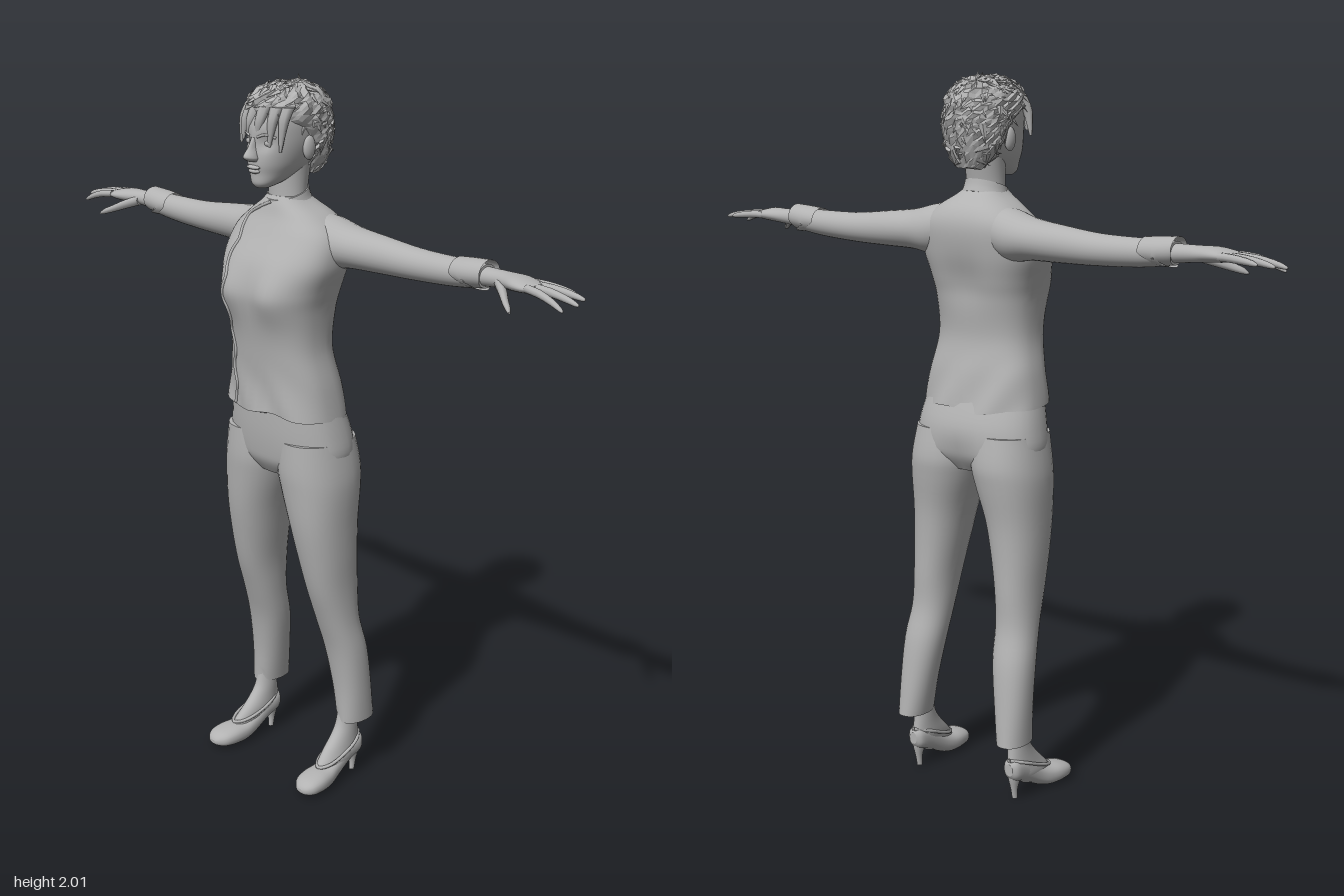
import * as THREE from 'three';
import { mergeGeometries } from 'three/addons/utils/BufferGeometryUtils.js';

const grey = new THREE.MeshStandardMaterial({ color: 0xb2b2b2, side: THREE.DoubleSide });
grey.name = 'plain grey';
const greyFaceted = grey; // hair gets its facets from split vertices

// Smooth in-between section at fractional index f
function sample(rows, f) {
  const n = rows.length - 1, i = Math.min(Math.floor(f), n - 1), t = f - i;
  const [a, b, c, d] = [i - 1, i, i + 1, i + 2].map(k => rows[Math.max(0, Math.min(n, k))]);
  return b.map((v, k) => v + 0.5 * t * (c[k] - a[k] + t * (2 * a[k] - 5 * v + 4 * c[k] - d[k] + t * (3 * (v - c[k]) + d[k] - a[k]))));
}

const sp = (v, p) => Math.sign(v) * Math.abs(v) ** (2 / p);

// Point on a section [t, uMin, uMax, vMin, vMax]; axis 0 = x (u z, v y), 1 = y (u x, v z), 2 = z (u y, v x)
function ringPoint(s, axis, ang, p) {
  const q = [0, 0, 0];
  q[axis] = s[0];
  q[(axis + 2) % 3] = (s[1] + s[2]) / 2 + (s[2] - s[1]) / 2 * sp(Math.cos(ang), p);
  q[(axis + 1) % 3] = (s[3] + s[4]) / 2 + (s[4] - s[3]) / 2 * sp(Math.sin(ang), p);
  return new THREE.Vector3(...q);
}

// Closed skin through the sections, with optional vertex rule
function loft(rows, axis, { segs = 28, sub = 4, p = 2, cap = true, rule } = {}) {
  const pos = [], idx = [], m = (rows.length - 1) * sub;
  const ring = i => {
    const s = sample(rows, i / sub);
    for (let j = 0; j < segs; j++) {
      const v = ringPoint(s, axis, j / segs * Math.PI * 2, p);
      if (rule) rule(v);
      pos.push(v.x, v.y, v.z);
    }
  };
  for (let i = 0; i <= m; i++) ring(i);
  for (let i = 0; i < m; i++) for (let j = 0; j < segs; j++) {
    const k = (j + 1) % segs, a = i * segs + j, b = i * segs + k, c = a + segs, d = b + segs;
    idx.push(a, c, b, b, c, d);
  }
  if (cap) for (const end of [0, m]) {
    const base = pos.length / 3;
    ring(end);
    for (let j = 1; j < segs - 1; j++) idx.push(base, ...(end ? [base + j + 1, base + j] : [base + j, base + j + 1]));
  }
  const g = new THREE.BufferGeometry();
  g.setAttribute('position', new THREE.Float32BufferAttribute(pos, 3));
  g.setIndex(idx);
  g.computeVertexNormals();
  return g;
}

function mirror(g) {
  const m = g.clone().scale(-1, 1, 1), ix = m.index.array;
  for (let i = 0; i < ix.length; i += 3) [ix[i], ix[i + 1]] = [ix[i + 1], ix[i]];
  return m;
}

const tube = (pts, r, n = 16) => new THREE.TubeGeometry(
  new THREE.CatmullRomCurve3(pts.map(q => new THREE.Vector3(...q))), n, r, 8);
const ball = (x, y, z, a, b, c) => new THREE.SphereGeometry(1, 16, 12).scale(a, b, c).translate(x, y, z);
const bump = (v, x, y, r) => Math.exp(-((Math.abs(v.x) - x) ** 2 + (v.y - y) ** 2) / (r * r));

export function createModel() {
  const model = new THREE.Group();
  const add = (name, g, mat = grey) => {
    const m = new THREE.Mesh(g, mat);
    m.name = name;
    model.add(m);
  };
  const pair = (name, g) => { add('left' + name, g); add('right' + name, mirror(g)); };
  let seed = 7;
  const rnd = () => (seed = (seed * 16807) % 2147483647) / 2147483647;

  // Jacket body, with bust, waist folds and a wavy hem
  const jacketRows = [
    [1.11, -.185, .185, -.117, .12], [1.2, -.172, .172, -.1, .118], [1.3, -.152, .152, -.082, .127],
    [1.4, -.155, .155, -.095, .142], [1.46, -.167, .167, -.108, .145], [1.53, -.185, .185, -.12, .132],
    [1.6, -.175, .175, -.125, .095], [1.645, -.13, .13, -.11, .072], [1.68, -.075, .075, -.075, .06], [1.7, -.052, .052, -.05, .05]];
  const jacketRule = v => {
    if (v.z > 0) v.z += 0.022 * bump(v, .085, 1.445, .065);
    if (v.z < 0) v.z += 0.014 * bump(v, 0, 1.45, .07);
    const low = Math.max(0, 1 - (v.y - 1.11) / 0.15);
    v.z += low * 0.005 * Math.sin(v.x * 45 + v.y * 30);
    v.y += low * (0.006 * Math.sin(v.x * 30) + 0.05 * v.z);
  };
  add('jacketBody', loft(jacketRows, 1, { segs: 48, sub: 6, p: 2.5, rule: jacketRule }));
  add('collar', loft([[1.672, -.07, .07, -.064, .064], [1.69, -.063, .063, -.058, .06], [1.708, -.059, .059, -.054, .058]], 1,
    { rule: v => { v.y -= 0.33 * v.z; } }));

  // Overlapping front edge, following the jacket surface
  const onFront = (x, y) => {
    let k = 0;
    while (k < 9 && sample(jacketRows, k)[0] < y) k += 0.05;
    const s = sample(jacketRows, Math.min(k, 9));
    const v = new THREE.Vector3(x, y, (s[3] + s[4]) / 2 + (s[4] - s[3]) / 2 * Math.max(0, 1 - Math.abs(x / s[2]) ** 2.5) ** 0.4);
    jacketRule(v);
    return v.toArray();
  };
  const edge = [[0, 1.685], [-.045, 1.665], [-.085, 1.64]];
  for (let i = 0; i <= 16; i++) edge.push([-.09 + 0.007 * Math.sin(i * 1.9), 1.61 - i * 0.031]);
  add('jacketFrontEdge', tube(edge.map(e => onFront(...e)), 0.005, 70));

  // Sleeves and turned-back cuffs
  pair('Sleeve', loft([
    [.06, -.1, .03, 1.53, 1.66], [.13, -.118, .03, 1.512, 1.652], [.2, -.115, .012, 1.522, 1.634],
    [.3, -.108, -.008, 1.524, 1.622], [.42, -.104, -.02, 1.527, 1.61], [.55, -.1, -.025, 1.535, 1.608],
    [.645, -.097, -.028, 1.548, 1.608]], 0));
  pair('Cuff', loft([[.555, -.104, -.021, 1.542, 1.613], [.6, -.106, -.019, 1.543, 1.617], [.652, -.102, -.023, 1.549, 1.62]], 0,
    { cap: false, rule: v => { if (v.y < 1.575) v.x += (v.x < .6 ? 1 : -.2) * (1.575 - v.y) * 1.8; } }));

  // Hands with fingers
  const tips = [[.775, -.083, .89, -.098, 1.572], [.8, -.068, .928, -.082, 1.568], [.805, -.045, .94, -.042, 1.563], [.8, -.022, .92, -.01, 1.55]];
  const fingers = tips.map(([x, z, tx, tz, ty]) => loft(
    [0, .35, .7, .93, 1].map((t, i) => {
      const r = [.0105, .0105, .009, .006, .002][i], cz = z + (tz - z) * t, cy = 1.582 + (ty - 1.582) * t * t;
      return [x + (tx - x) * t, cz - r, cz + r, cy - r, cy + r];
    }), 0, { segs: 10, sub: 2 }));
  fingers.push(loft([[.695, -.06, -.03, 1.56, 1.59], [.73, -.036, -.005, 1.548, 1.576], [.765, -.003, .02, 1.535, 1.556],
    [.785, .014, .031, 1.529, 1.545], [.795, .026, .034, 1.528, 1.534]], 0, { segs: 10, sub: 3 }));
  pair('Fingers', mergeGeometries(fingers));
  pair('Palm', loft([[.62, -.092, -.033, 1.551, 1.602], [.68, -.088, -.035, 1.557, 1.602], [.715, -.09, -.028, 1.56, 1.602],
    [.755, -.096, -.012, 1.563, 1.602], [.79, -.09, -.01, 1.566, 1.596], [.815, -.078, -.018, 1.572, 1.59]], 0));

  // Trousers
  add('trouserHips', loft([[.93, -.1, .1, -.1, .07], [.965, -.18, .18, -.128, .092], [1.0, -.203, .203, -.136, .1],
    [1.06, -.196, .196, -.132, .106], [1.13, -.18, .18, -.108, .108]], 1,
    { segs: 40, p: 2.3, rule: v => { if (v.z < 0) v.z += 0.014 * bump(v, 0, .97, .05); } }));
  pair('TrouserLeg', loft([
    [.175, .14, .222, -.16, -.04], [.28, .122, .223, -.15, -.036], [.4, .102, .221, -.136, -.018], [.5, .094, .211, -.114, .012],
    [.6, .086, .208, -.113, .045], [.7, .068, .211, -.113, .068], [.8, .046, .213, -.118, .086], [.9, .014, .215, -.133, .096],
    [.96, .002, .21, -.138, .1], [1.04, .01, .196, -.125, .098]], 1, { p: 2.2,
    rule: v => { if (v.y < .2 && v.z > -.07) v.y += 0.03 * Math.max(0, 1 - Math.abs(v.x - .165) / .015); } }));

  // Feet, pumps and heels
  pair('Foot', loft([[.035, .155, .205, -.06, .07], [.065, .15, .21, -.1, .05], [.095, .146, .206, -.114, .022],
    [.13, .147, .202, -.112, -.012], [.165, .148, .2, -.11, -.034], [.22, .15, .2, -.112, -.045]], 1));
  pair('Shoe', loft([[-.12, .075, .11, .165, .19], [-.105, .058, .122, .15, .204], [-.06, .042, .108, .147, .207], [-.01, .014, .078, .145, .213],
    [.03, .001, .062, .142, .224], [.07, .0, .058, .142, .232], [.105, .003, .05, .15, .23], [.125, .01, .038, .168, .216], [.132, .018, .028, .182, .2]], 2,
    { p: 2.4 }));
  pair('ShoeRim', tube([[.178, .12, -.117], [.206, .11, -.08], [.212, .085, -.02], [.205, .068, .03], [.185, .062, .052],
    [.16, .068, .03], [.147, .085, -.02], [.15, .11, -.08], [.176, .12, -.117]], 0.005, 40));
  pair('Heel', loft([[0, .169, .185, -.1, -.084], [.03, .167, .187, -.106, -.084], [.06, .16, .194, -.113, -.075],
    [.085, .153, .201, -.116, -.062]], 1, { segs: 14 }));

  // Neck and head
  add('neck', loft([[1.64, -.062, .062, -.055, .052], [1.7, -.055, .055, -.05, .05], [1.76, -.055, .055, -.06, .052], [1.82, -.06, .06, -.07, .055]], 1));
  add('head', loft([
    [1.728, -.018, .018, .07, .108], [1.74, -.035, .035, .03, .118], [1.765, -.053, .053, -.035, .12], [1.79, -.066, .066, -.07, .124],
    [1.825, -.076, .076, -.09, .124], [1.86, -.081, .081, -.105, .124], [1.9, -.081, .081, -.11, .12], [1.94, -.072, .072, -.1, .1],
    [1.97, -.045, .045, -.06, .06]], 1, { segs: 40, p: 2.15,
    rule: v => { if (v.z > .05) v.z -= 0.011 * bump(v, .034, 1.846, .018); } }));
  add('nose', loft([[1.798, -.012, .012, .11, .135], [1.806, -.018, .018, .105, .15], [1.815, -.016, .016, .105, .154],
    [1.835, -.009, .009, .1, .14], [1.86, -.008, .008, .1, .126]], 1, { segs: 16 }));
  add('upperLip', ball(0, 1.783, .122, .024, .006, .01));
  add('lowerLip', ball(0, 1.773, .119, .02, .007, .011));
  pair('Eye', ball(.034, 1.846, .103, .015, .008, .007));
  pair('Brow', tube([[.014, 1.862, .121], [.035, 1.869, .114], [.057, 1.861, .094]], 0.0035));
  pair('Ear', ball(.081, 1.83, .0, .012, .032, .02));

  // Short tousled hair: rough cap with scattered locks
  const hairRows = [
    [1.755, -.045, .045, -.09, -.04], [1.8, -.078, .078, -.108, -.012], [1.84, -.091, .091, -.12, .02], [1.875, -.096, .096, -.127, .05],
    [1.905, -.097, .097, -.127, .1], [1.94, -.093, .093, -.122, .117], [1.968, -.075, .075, -.1, .1], [1.988, -.04, .04, -.06, .06], [1.992, -.008, .008, -.02, .02]];
  const hairCap = loft(hairRows, 1, { segs: 36, sub: 3, rule: v => {
    const s = 0.006 * Math.sin(v.x * 190 + v.y * 120) * Math.sin(v.z * 170 - v.y * 90);
    v.x *= 1 + s * 9; v.z *= 1 + s * 9; v.y += s * .8;
  } }).toNonIndexed();
  hairCap.computeVertexNormals();
  add('hairCap', hairCap, greyFaceted);
  const locks = [], up = new THREE.Vector3(0, 1, 0), centre = new THREE.Vector3(0, 1.87, -.01);
  for (let i = 0; i < 190; i++) {
    const p = ringPoint(sample(hairRows, 0.3 + rnd() * 7.2), 1, rnd() * Math.PI * 2, 2);
    const out = p.clone().sub(centre).normalize();
    const flow = new THREE.Vector3(rnd() - .5, -rnd() * 1.1, rnd() - .5).addScaledVector(out, -.1);
    flow.addScaledVector(out, -flow.dot(out) + .12).normalize();
    const side = new THREE.Vector3().crossVectors(flow, out).normalize();
    const basis = new THREE.Matrix4().makeBasis(side, flow, new THREE.Vector3().crossVectors(side, flow));
    const lock = new THREE.ConeGeometry(.012, .03 + rnd() * .022, 5).scale(1, 1, .45).toNonIndexed();
    lock.computeVertexNormals();
    locks.push(lock.applyMatrix4(basis.setPosition(p)));
  }
  add('hairLocks', mergeGeometries(locks), greyFaceted);
  // Fringe swept to one side of the forehead
  for (const [i, x] of [-.075, -.05, -.02, .015, .05, .075].entries()) {
    const z = .122 - x * x * 5;
    add('fringeLock' + (i + 1), loft([[1.868 + Math.abs(x + .01) * -.5, x - .012, x - .004, z - .008, z - .002],
      [1.9, x - .014, x + .016, z - .02, z + .004], [1.94, x * .9 - .01, x * .9 + .03, z - .04, z - .004]], 1, { segs: 8 }));
  }
  return model;
}
